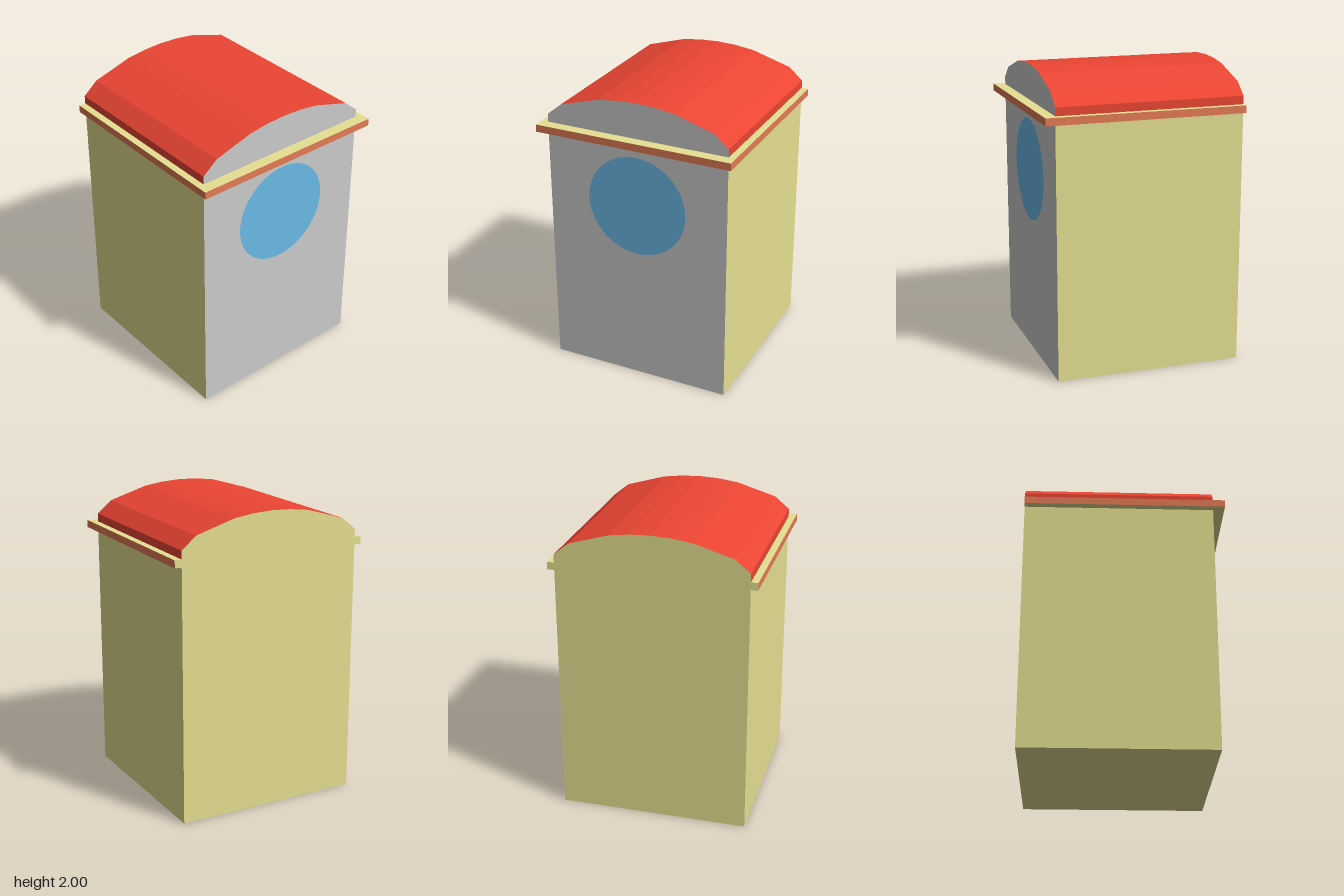
import * as THREE from 'three';

const paint = (color) => new THREE.MeshStandardMaterial({ color });

export function createModel() {
  const olive = paint(0xe6e092), grey = paint(0xcccccc), orange = paint(0xe57b56);
  const red = paint(0xeb4533), blue = paint(0x6bbae8);
  const model = new THREE.Group();

  const x0 = -0.67, x1 = 0.597, halfZ = 0.635; // wall extents
  const trimBottom = 1.71, trimTop = 1.76;

  const add = (name, geometry, material) => {
    const mesh = new THREE.Mesh(geometry, material);
    mesh.name = name;
    model.add(mesh);
    return mesh;
  };

  // Box between two x values, two heights and +-z; materials: +x, -x, +y, -y, +z, -z
  const block = (name, xa, xb, ya, yb, hz, materials) => {
    const mesh = add(name, new THREE.BoxGeometry(xb - xa, yb - ya, hz * 2), materials);
    mesh.position.set((xa + xb) / 2, (ya + yb) / 2, 0);
  };

  // Walls with a grey face on the left, and the eaves slab that overhangs three sides
  block('walls', x0, x1, 0, trimBottom, halfZ, [grey, olive, olive, olive, olive, olive]);
  block('eavesTrim', x0, 0.672, trimBottom, trimTop, 0.682, [orange, olive, olive, olive, orange, orange]);

  // Faceted barrel roof: mirrored half profile, extruded along x
  const half = [[halfZ, trimTop], [halfZ, 1.815], [0.535, 1.897], [0.27, 1.976], [0.135, 1.994]];
  const outline = [...half, [0, 2], ...half.map(([z, y]) => [-z, y]).reverse()];
  const shape = new THREE.Shape(outline.map(([z, y]) => new THREE.Vector2(z, y)));
  const roof = new THREE.ExtrudeGeometry(shape, { depth: x1 - x0, bevelEnabled: false });
  roof.rotateY(Math.PI / 2).translate(x0, 0, 0);

  // Split the two gable ends so each takes the colour of the wall below
  const [caps, sides] = roof.groups.map((g) => ({ ...g }));
  roof.clearGroups();
  roof.addGroup(caps.start, caps.count / 2, 0);
  roof.addGroup(caps.start + caps.count / 2, caps.count / 2, 1);
  roof.addGroup(sides.start, sides.count, 2);
  add('roof', roof, [olive, grey, red]);

  // Round window on the grey face
  const window = add('roundWindow', new THREE.CircleGeometry(0.347, 48), blue);
  window.rotation.y = Math.PI / 2;
  window.position.set(x1 + 0.002, 1.283, 0);

  return model;
}
